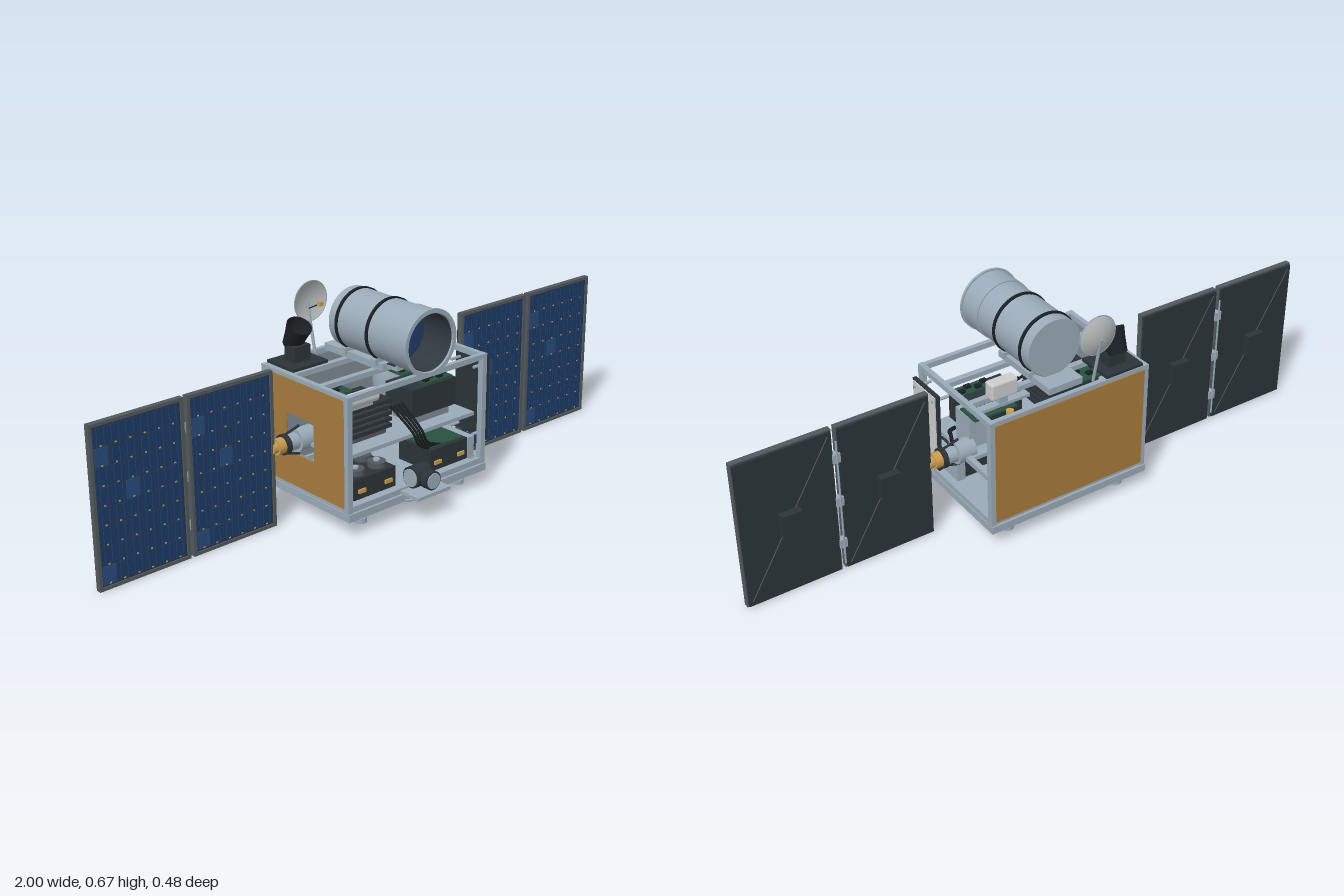
import * as THREE from 'three';
import { mergeGeometries } from 'three/addons/utils/BufferGeometryUtils.js';
import { RoundedBoxGeometry } from 'three/addons/geometries/RoundedBoxGeometry.js';

const mat = (color, side = THREE.FrontSide) => new THREE.MeshStandardMaterial({ color, side });
const M = {
  frame: mat(0x9aaab8), inner: mat(0x828d96), dark: mat(0x2b3439), black: mat(0x1a2024), gold: mat(0xc99c50),
  foil: mat(0xa67a3c), white: mat(0xc6c8c6), green: mat(0x28523f), blue: mat(0x1c3a66), blue2: mat(0x284c7c),
  lens: mat(0x223c66), shell: mat(0x9aaab8, THREE.DoubleSide), dish: mat(0xb4b8b8, THREE.DoubleSide), base: mat(0x52595e),
};
const V = (x, y, z) => new THREE.Vector3(x, y, z);

function add(parent, name, geo, m, x = 0, y = 0, z = 0) {
  const mesh = new THREE.Mesh(geo, m);
  mesh.name = name;
  mesh.position.set(x, y, z);
  parent.add(mesh);
  return mesh;
}
// box given by its minimum and maximum corners
function box(p, name, m, x0, x1, y0, y1, z0, z1) {
  return add(p, name, new THREE.BoxGeometry(x1 - x0, y1 - y0, z1 - z0), m, (x0 + x1) / 2, (y0 + y1) / 2, (z0 + z1) / 2);
}
// cylinder running from a to b
function rod(p, name, m, a, b, r, r2 = r, seg = 32) {
  const mesh = add(p, name, new THREE.CylinderGeometry(r2, r, a.distanceTo(b), seg), m);
  mesh.position.copy(a).lerp(b, 0.5);
  mesh.quaternion.setFromUnitVectors(V(0, 1, 0), b.clone().sub(a).normalize());
  return mesh;
}
function cable(p, name, m, pts, r = 0.004) {
  return add(p, name, new THREE.TubeGeometry(new THREE.CatmullRomCurve3(pts), 24, r, 8), m);
}
const lathe = (pts, seg = 48) => new THREE.LatheGeometry(pts.map(([r, y]) => new THREE.Vector2(r, y)), seg);

function buildBus(root) {
  const g = new THREE.Group(); g.name = 'bus'; root.add(g);
  box(g, 'basePlate', M.frame, -0.285, 0.285, 0.054, 0.078, -0.235, 0.17);
  box(g, 'baseUnderside', M.base, -0.275, 0.275, 0.052, 0.054, -0.225, 0.16);
  for (const x of [-0.275, 0.275]) {
    for (const z of [0.155, -0.22]) box(g, 'cornerPost', M.frame, x - 0.009, x + 0.009, 0.078, 0.443, z - 0.01, z + 0.01);
    for (const y of [0.088, 0.434]) box(g, 'sideRail', M.frame, x - 0.008, x + 0.008, y - 0.009, y + 0.009, -0.22, 0.155);
    for (const z of [0.125, -0.19]) {
      rod(g, 'footStem', M.dark, V(x * 0.74, 0.034, z), V(x * 0.74, 0.054, z), 0.014);
      rod(g, 'footPad', M.frame, V(x * 0.74, 0.018, z), V(x * 0.74, 0.034, z), 0.02);
    }
  }
  for (const z of [0.155, -0.22]) for (const y of [0.088, 0.434])
    box(g, 'crossRail', M.frame, -0.27, 0.27, y - 0.009, y + 0.009, z - 0.008, z + 0.008);
  for (const z of [0.03, -0.1]) box(g, 'cradleBeam', M.frame, -0.27, 0.27, 0.426, 0.442, z - 0.01, z + 0.01);
  // closed back wall, lined on the inside
  box(g, 'backFoil', M.foil, -0.268, 0.268, 0.09, 0.43, -0.232, -0.226);
  box(g, 'backLining', M.inner, -0.268, 0.268, 0.09, 0.43, -0.226, -0.222);
  // right wall with an opening for the wing drive
  const wall = new THREE.Shape([[-0.148, 0.09], [0.215, 0.09], [0.215, 0.43], [-0.148, 0.43]].map(p => new THREE.Vector2(...p)));
  wall.holes.push(new THREE.Path([[-0.012, 0.195], [-0.012, 0.32], [0.115, 0.32], [0.115, 0.195]].map(p => new THREE.Vector2(...p))));
  [['sideFoil', M.foil, -0.284], ['sideLining', M.inner, -0.278]].forEach(([name, m, x]) => {
    const w = add(g, name, new THREE.ExtrudeGeometry(wall, { depth: 0.005, bevelEnabled: false }), m, x);
    w.rotation.y = Math.PI / 2;
  });
  box(g, 'middleShelf', M.frame, -0.268, 0.268, 0.232, 0.244, -0.1, 0.13);
  box(g, 'driveBeam', M.frame, 0.262, 0.28, 0.23, 0.248, -0.215, -0.005);
}

function buildEquipment(root) {
  const g = new THREE.Group(); g.name = 'equipment'; root.add(g);
  // upper stack of boards
  for (let i = 0; i < 5; i++) box(g, 'boardStack', M.dark, -0.225, -0.035, 0.262 + i * 0.02, 0.274 + i * 0.02, -0.06, 0.08);
  box(g, 'stackCore', M.base, -0.21, -0.05, 0.244, 0.35, -0.05, 0.07);
  box(g, 'upperBox', M.dark, 0.04, 0.225, 0.27, 0.36, -0.03, 0.09);
  box(g, 'upperBoxFoot', M.inner, 0.06, 0.205, 0.244, 0.27, -0.02, 0.08);
  box(g, 'rearBox', M.frame, 0.19, 0.25, 0.25, 0.36, -0.065, 0.012);
  // circuit boards with chips
  for (const [x0, x1, z0, z1] of [[-0.225, -0.1, -0.1, -0.02], [0.1, 0.25, -0.095, -0.015], [0.1, 0.215, 0.04, 0.085]]) {
    box(g, 'circuitBoard', M.green, x0, x1, 0.362, 0.368, z0, z1);
    for (let i = 0; i < 4; i++) {
      const x = x0 + (i + 0.5) * (x1 - x0) / 4, z = z0 + (z1 - z0) * (i % 2 ? 0.3 : 0.65);
      box(g, 'chip', M.black, x - 0.01, x + 0.01, 0.368, 0.376, z - 0.008, z + 0.008);
    }
  }
  // lower boxes with fronts, discs and a board
  box(g, 'lowerBox', M.dark, -0.24, -0.075, 0.1, 0.165, 0.0, 0.14);
  box(g, 'lowerBox', M.dark, 0.07, 0.23, 0.1, 0.17, 0.0, 0.14);
  box(g, 'lowerSideBox', M.frame, 0.232, 0.26, 0.098, 0.168, -0.005, 0.14);
  box(g, 'lowerBoard', M.green, 0.08, 0.22, 0.17, 0.175, 0.01, 0.13);
  for (const x of [-0.2, -0.115]) for (const z of [0.035, 0.1]) {
    rod(g, 'wheelDisc', M.base, V(x, 0.165, z), V(x, 0.182, z), 0.028);
    rod(g, 'wheelHub', M.frame, V(x, 0.182, z), V(x, 0.188, z), 0.01);
  }
  for (const x of [-0.21, -0.105, 0.1, 0.2]) box(g, 'connector', M.gold, x - 0.014, x + 0.014, 0.12, 0.132, 0.138, 0.146);
  // side canister
  rod(g, 'canister', M.white, V(-0.23, 0.385, 0.075), V(-0.1, 0.385, 0.075), 0.022);
  box(g, 'canisterBase', M.frame, -0.22, -0.11, 0.354, 0.372, 0.06, 0.08);
  // wiring
  for (let i = 0; i < 4; i++) {
    cable(g, 'harness', M.black, [V(-0.04 + i * 0.015, 0.33, 0.08), V(0.0 + i * 0.012, 0.25, 0.135), V(0.03 + i * 0.012, 0.2, 0.13), V(0.09 + i * 0.02, 0.165, 0.12)]);
    cable(g, 'harness', M.black, [V(0.12 + i * 0.03, 0.36, -0.04), V(0.13 + i * 0.03, 0.4, -0.06), V(0.11 + i * 0.02, 0.43, -0.1)]);
  }
  cable(g, 'driveCable', M.black, [V(0.25, 0.28, 0.02), V(0.28, 0.29, 0), V(0.3, 0.305, -0.04), V(0.3, 0.27, -0.05)], 0.006);
  // propellant tank
  const tank = add(g, 'tank', new THREE.SphereGeometry(0.05, 40, 28), M.frame, 0.17, 0.3, -0.16);
  tank.scale.y = 1.8;
  rod(g, 'tankBand', M.dark, V(0.17, 0.352, -0.16), V(0.17, 0.358, -0.16), 0.042);
  rod(g, 'tankCap', M.gold, V(0.17, 0.385, -0.16), V(0.17, 0.412, -0.16), 0.012);
  add(g, 'tankRing', new THREE.TorusGeometry(0.05, 0.006, 10, 40), M.frame, 0.17, 0.24, -0.16).rotation.x = Math.PI / 2;
  box(g, 'tankArm', M.frame, 0.21, 0.27, 0.234, 0.246, -0.17, -0.15);
  cable(g, 'fuelPipe', M.frame, [V(0.17, 0.215, -0.165), V(0.175, 0.18, -0.17), V(0.17, 0.14, -0.16), V(0.17, 0.08, -0.16)], 0.006);
  // front porch with wheels
  box(g, 'porch', M.frame, -0.075, 0.06, 0.08, 0.091, 0.15, 0.24);
  for (const x of [-0.06, 0.045]) rod(g, 'porchStrut', M.frame, V(x, 0.082, 0.235), V(x, 0.056, 0.168), 0.004, 0.004, 10);
  rod(g, 'frontWheel', M.dark, V(-0.01, 0.128, 0.21), V(-0.01, 0.128, 0.237), 0.03);
  rod(g, 'frontWheelFace', M.frame, V(-0.01, 0.128, 0.237), V(-0.01, 0.128, 0.24), 0.025);
  rod(g, 'frontWheelAxle', M.frame, V(-0.01, 0.128, 0.17), V(-0.01, 0.128, 0.21), 0.01);
  rod(g, 'crossWheel', M.dark, V(-0.04, 0.125, 0.17), V(0.02, 0.125, 0.17), 0.034);
  for (const s of [-1, 1]) rod(g, 'crossWheelFace', M.frame, V(-0.01 + s * 0.03, 0.125, 0.17), V(-0.01 + s * 0.034, 0.125, 0.17), 0.028);
}

function buildRadiator(root) {
  const g = new THREE.Group(); g.name = 'radiator'; root.add(g);
  box(g, 'radiatorFrame', M.dark, 0.302, 0.314, 0.15, 0.415, 0.012, 0.147);
  for (const [y0, y1] of [[0.156, 0.183], [0.185, 0.291], [0.293, 0.409]]) box(g, 'radiatorPlate', M.white, 0.312, 0.317, y0, y1, 0.018, 0.141);
  for (const y of [0.168, 0.392]) for (const z of [0.03, 0.129]) {
    rod(g, 'radiatorBolt', M.frame, V(0.316, y, z), V(0.32, y, z), 0.005, 0.005, 12);
    rod(g, 'radiatorStandoff', M.frame, V(0.262, y, z), V(0.303, y, z), 0.005, 0.005, 12);
  }
}

function buildTelescope(root) {
  const g = new THREE.Group(); g.name = 'telescope'; root.add(g);
  // hollow barrel, profile runs along z
  const barrel = add(g, 'barrel', lathe([[0, -0.14], [0.092, -0.14], [0.092, -0.14], [0.0945, -0.137], [0.0945, 0.123], [0.0945, 0.123], [0.098, 0.123], [0.098, 0.123], [0.098, 0.202],
    [0.098, 0.202], [0.103, 0.202], [0.103, 0.202], [0.103, 0.21], [0.103, 0.21], [0.09, 0.21], [0.09, 0.21], [0.088, 0.05]], 64), M.shell, 0, 0.554, 0);
  barrel.rotation.x = Math.PI / 2;
  rod(g, 'innerSleeve', mat(0x30393f, THREE.DoubleSide), V(0, 0.554, 0.06), V(0, 0.554, 0.205), 0.0875, 0.0875, 64).geometry =
    new THREE.CylinderGeometry(0.0875, 0.0875, 0.145, 64, 1, true);
  rod(g, 'lens', M.lens, V(0, 0.554, 0.05), V(0, 0.554, 0.09), 0.087, 0.087, 64);
  for (const z of [0.035, -0.101]) {
    rod(g, 'barrelBand', M.black, V(0, 0.554, z - 0.005), V(0, 0.554, z + 0.005), 0.099, 0.099, 64);
    box(g, 'saddle', M.frame, -0.07, 0.07, 0.455, 0.475, z - 0.01, z + 0.01);
  }
  box(g, 'cradle', M.frame, -0.06, 0.06, 0.442, 0.464, -0.2, 0.065);
  box(g, 'cradleNose', M.frame, -0.04, 0.04, 0.448, 0.462, 0.065, 0.108);
  box(g, 'cradleClamp', M.dark, -0.045, 0.045, 0.462, 0.466, 0.07, 0.1);
}

function buildSensors(root) {
  const g = new THREE.Group(); g.name = 'sensors'; root.add(g);
  // tilted star camera on its deck
  box(g, 'cameraDeck', M.dark, -0.265, -0.13, 0.443, 0.452, -0.225, -0.1);
  box(g, 'cameraMount', M.dark, -0.225, -0.165, 0.452, 0.5, -0.19, -0.14);
  const cam = new THREE.Group(); cam.name = 'starCamera';
  cam.position.set(-0.195, 0.527, -0.172); cam.rotation.x = 0.5; g.add(cam);
  add(cam, 'cameraHood', lathe([[0, -0.038], [0.03, -0.038], [0.03, -0.038], [0.034, 0.0], [0.04, 0.038], [0.04, 0.038], [0.036, 0.038], [0.028, 0], [0, 0]]), mat(0x1a2024, THREE.DoubleSide));
  // small sensor box
  add(g, 'sensorBox', new RoundedBoxGeometry(0.09, 0.053, 0.04, 3, 0.006), M.white, 0.19, 0.493, -0.147);
  box(g, 'sensorWindow', M.dark, 0.157, 0.223, 0.477, 0.509, -0.128, -0.126);
  box(g, 'sensorFoot', M.frame, 0.175, 0.205, 0.442, 0.468, -0.158, -0.136);
  box(g, 'sensorRail', M.frame, 0.1, 0.27, 0.434, 0.444, -0.16, -0.134);
  // dish antenna with feed
  rod(g, 'dishMast', M.frame, V(-0.096, 0.44, -0.203), V(-0.096, 0.598, -0.236), 0.005, 0.005, 12);
  const profile = [];
  for (let i = 0; i <= 8; i++) profile.push([0.0635 * i / 8, 0.018 * (i / 8) ** 2]);
  const dish = add(g, 'dish', lathe(profile), M.dish, -0.096, 0.602, -0.237);
  dish.rotation.x = Math.PI / 2;
  add(g, 'dishRim', new THREE.TorusGeometry(0.0635, 0.0015, 8, 48), M.frame, -0.096, 0.602, -0.219);
  rod(g, 'feedArm', M.dark, V(-0.096, 0.575, -0.23), V(-0.096, 0.603, -0.175), 0.002, 0.002, 8);
  box(g, 'feedHorn', M.gold, -0.103, -0.089, 0.597, 0.61, -0.18, -0.167);
}

function buildPanel(x0, x1) {
  const g = new THREE.Group(); g.name = 'solarPanel';
  box(g, 'panelBoard', M.dark, x0 + 0.004, x1 - 0.004, 0.006, 0.492, -0.07, -0.05);
  for (const x of [x0, x1 - 0.01]) box(g, 'panelEdge', M.base, x, x + 0.01, 0.002, 0.496, -0.063, -0.045);
  for (const y of [0.002, 0.486]) box(g, 'panelEdge', M.base, x0, x1, y, y + 0.01, -0.063, -0.045);
  // cells in two shades, with contact dots between the rows
  const cells = [[], []], dots = [], lines = [], nx = 6, ny = 8, w = (x1 - x0 - 0.026) / nx, h = 0.466 / ny;
  for (let i = 0; i < nx; i++) for (let j = 0; j < ny; j++) {
    const x = x0 + 0.013 + (i + 0.5) * w, y = 0.016 + (j + 0.5) * h;
    cells[(i * 7 + j * 5 + i * j) % 6 === 0 ? 1 : 0].push(new THREE.BoxGeometry(w - 0.003, h - 0.003, 0.003).translate(x, y, -0.049));
    for (const s of [-0.25, 0.25]) lines.push(new THREE.BoxGeometry(0.0012, h - 0.004, 0.001).translate(x + s * w, y, -0.0473));
    dots.push(new THREE.BoxGeometry(0.006, 0.004, 0.003).translate(x, y - h / 2 + 0.004, -0.0475));
  }
  add(g, 'cells', mergeGeometries(cells[0]), M.blue);
  add(g, 'paleCells', mergeGeometries(cells[1]), M.blue2);
  add(g, 'cellLines', mergeGeometries(lines), M.blue2);
  add(g, 'contacts', mergeGeometries(dots), M.gold);
  const c = (x0 + x1) / 2;
  box(g, 'junctionBox', M.dark, c - 0.032, c + 0.032, 0.212, 0.287, -0.094, -0.07);
  rod(g, 'backWire', M.base, V(x0 + 0.015, 0.48, -0.071), V(x1 - 0.015, 0.02, -0.071), 0.0015, 0.0015, 6);
  return g;
}

function buildWing(side) {
  const g = new THREE.Group(); g.name = side > 0 ? 'leftWing' : 'rightWing';
  for (const [a, b] of [[0.385, 0.685], [0.697, 1]]) g.add(side > 0 ? buildPanel(a, b) : buildPanel(-b, -a));
  // hinge line between the panels
  rod(g, 'hingeRod', M.frame, V(side * 0.691, 0.03, -0.077), V(side * 0.691, 0.46, -0.077), 0.003, 0.003, 10);
  for (const y of [0.1, 0.25, 0.4]) box(g, 'hinge', M.frame, side * 0.691 - 0.012, side * 0.691 + 0.012, y - 0.015, y + 0.015, -0.076, -0.056);
  // rotary drive
  const parts = [[M.frame, 0.24, 0.3, 0.036], [M.frame, 0.3, 0.335, 0.026], [M.dark, 0.335, 0.35, 0.032], [M.gold, 0.35, 0.375, 0.025], [M.gold, 0.375, 0.392, 0.018]];
  for (const [m, a, b, r] of parts) rod(g, 'wingDrive', m, V(side * a, 0.25, -0.055), V(side * b, 0.25, -0.055), r);
  for (const s of [-1, 1]) rod(g, 'driveStrut', M.dark, V(side * 0.285, 0.25 + s * 0.045, -0.055), V(side * 0.345, 0.25 + s * 0.028, -0.055), 0.004, 0.004, 8);
  return g;
}

export function createModel() {
  const root = new THREE.Group();
  root.name = 'satellite';
  [buildBus, buildEquipment, buildRadiator, buildTelescope, buildSensors].forEach(build => build(root));
  root.add(buildWing(1), buildWing(-1));
  return root;
}
